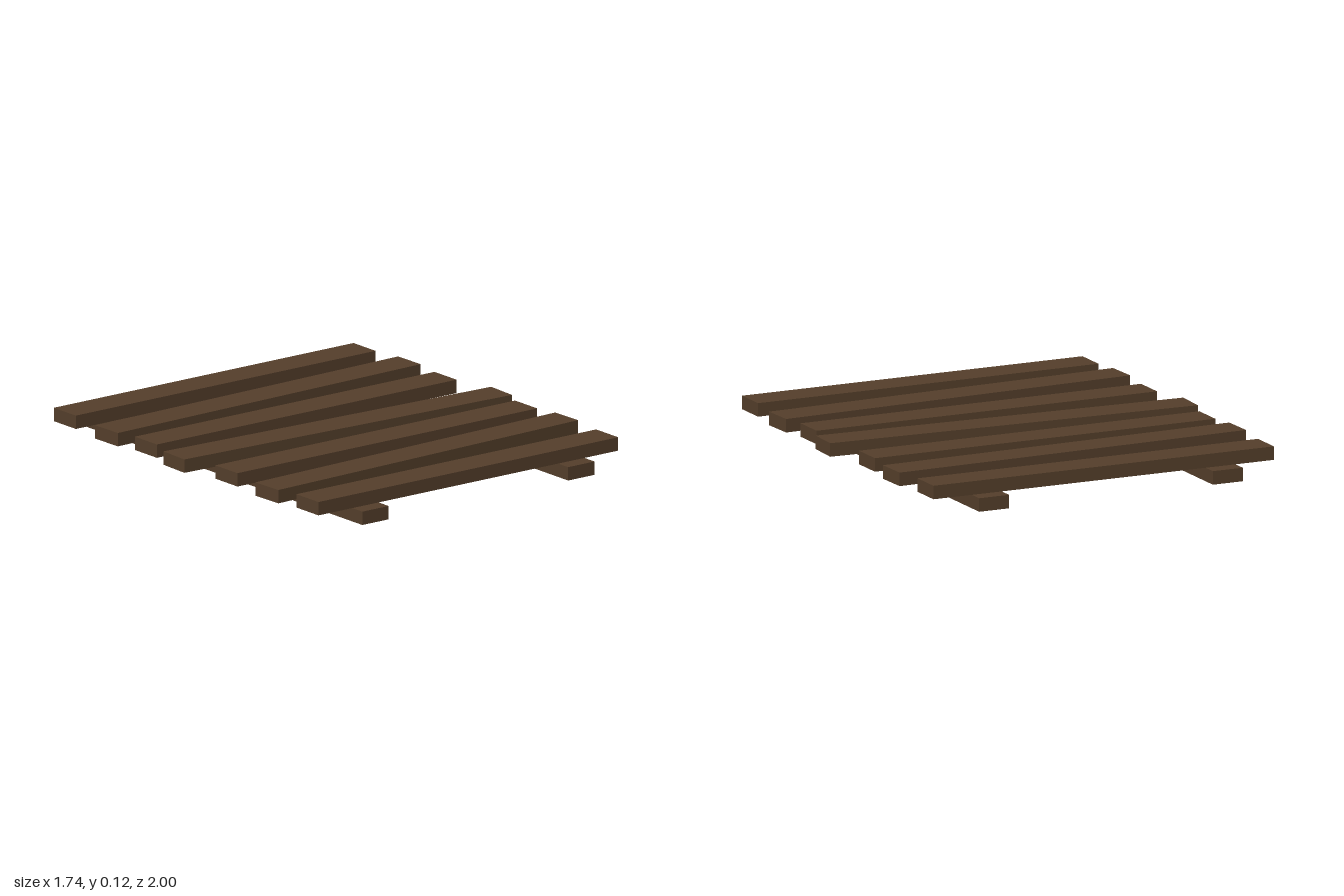
import * as THREE from 'three';

export function createModel() {
  const group = new THREE.Group();
  const wood = new THREE.MeshStandardMaterial({ color: 0x553f2b });
  wood.name = 'dark brown wood';

  const board = (name, width, depth, x, y, z, angle = 0) => {
    const mesh = new THREE.Mesh(new THREE.BoxGeometry(width, 0.06, depth), wood);
    mesh.name = name;
    mesh.position.set(x, y, z);
    mesh.rotation.y = angle;
    group.add(mesh);
  };

  // Two long rails lying on the ground
  board('leftRail', 0.144, 2, 0.563, 0.03, 0);
  board('rightRail', 0.144, 2, -0.563, 0.03, 0);

  // Planks across the rails, some nailed on askew: [z, length, angle]
  const planks = [
    [-0.852, 1.64, 0],
    [-0.548, 1.69, 0.025],
    [-0.283, 1.64, 0],
    [0.012, 1.735, -0.044],
    [0.283, 1.64, 0],
    [0.567, 1.69, 0.037],
    [0.852, 1.64, 0],
  ];
  planks.forEach(([z, length, angle], i) =>
    board(`plank${i + 1}`, length, 0.155, 0, 0.09, z, angle));

  return group;
}
